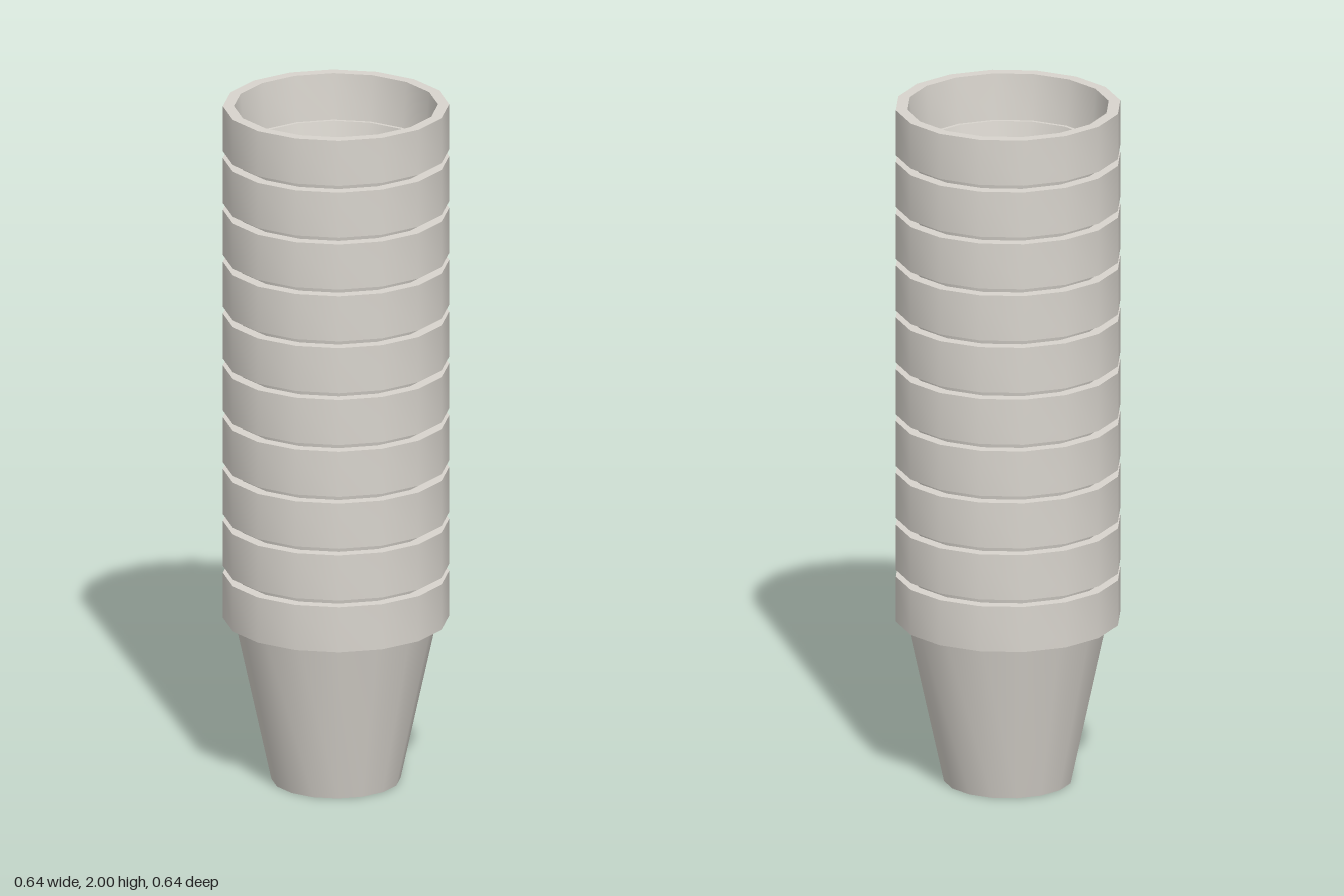
import * as THREE from 'three';
import { toCreasedNormals } from 'three/addons/utils/BufferGeometryUtils.js';

const CUPS = 10;
const PITCH = 0.154; // rise from one nested cup to the next
const SIDES = 16;

// Closed cup profile (radius, height): outside going up, inside going down
const PROFILE = [
  [0, 0], [0.182, 0], // base
  [0.286, 0.48], // tapered wall
  [0.32, 0.48], [0.32, 0.614], // collar
  [0.287, 0.614], [0.275, 0.48], // inside of the collar
  [0.265, 0.48], // stacking ledge
  [0.164, 0.02], [0, 0.02], // inner wall and floor
];

export function createModel() {
  const group = new THREE.Group();
  group.name = 'cupStack';

  const plastic = new THREE.MeshStandardMaterial({ color: 0xd8d4cd });
  plastic.name = 'warm light grey';

  const points = PROFILE.map(([r, y]) => new THREE.Vector2(r, y));
  const cupGeometry = toCreasedNormals(new THREE.LatheGeometry(points, SIDES), Math.PI / 6);

  // Nested cups, bottom to top
  for (let i = 0; i < CUPS; i++) {
    const cup = new THREE.Mesh(cupGeometry, plastic);
    cup.name = `cup${i + 1}`;
    cup.position.y = i * PITCH;
    group.add(cup);
  }
  return group;
}
